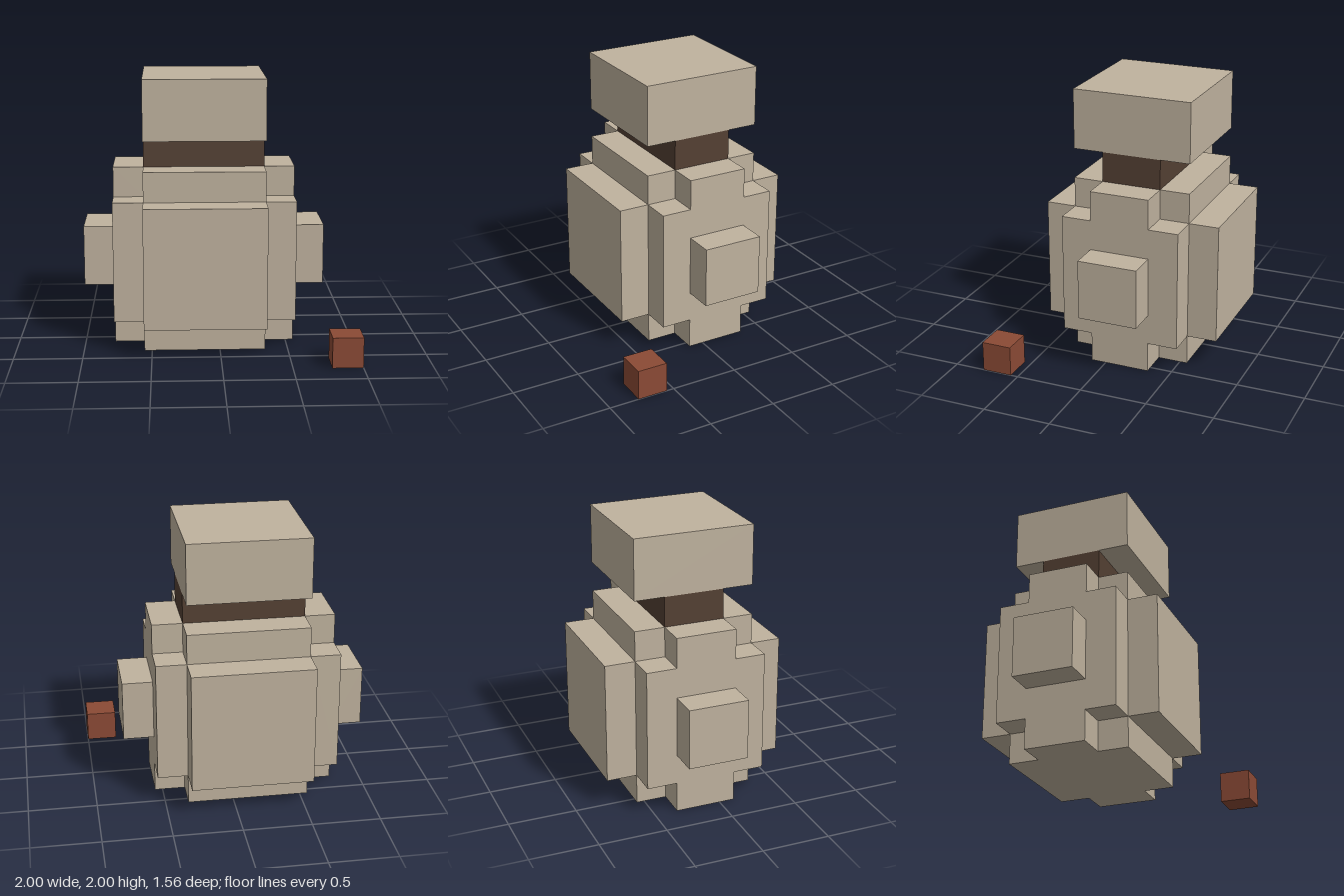
import * as THREE from 'three';

const U = 2 / 9; // one block
// grid coordinates to model coordinates (9 x 9 x 7 blocks)
const gx = i => i * U - 1;
const gy = j => j * U;
const gz = k => k * U - 3.5 * U;

export function createModel() {
  const group = new THREE.Group();
  const mat = (name, color) => {
    const m = new THREE.MeshStandardMaterial({ color });
    m.name = name;
    return m;
  };
  const clay = mat('pale clay', 0xbfb29e);
  const cord = mat('dark brown', 0x544033);
  const red = mat('brick red', 0x8b4a35);

  const add = (name, geometry, material) => {
    const mesh = new THREE.Mesh(geometry, material);
    mesh.name = name;
    group.add(mesh);
    return mesh;
  };

  // box between two grid corners
  const block = (name, material, [x0, y0, z0], [x1, y1, z1]) => {
    const g = new THREE.BoxGeometry((x1 - x0) * U, (y1 - y0) * U, (z1 - z0) * U);
    add(name, g, material).position.set(
      (gx(x0) + gx(x1)) / 2, (gy(y0) + gy(y1)) / 2, (gz(z0) + gz(z1)) / 2);
  };

  // jar layer: a rectangle with one-block square notches at its corners
  const layer = (name, y0, y1, z0, z1) => {
    const outline = [
      [2, z0], [6, z0], [6, z0 + 1], [7, z0 + 1], [7, z1 - 1], [6, z1 - 1],
      [6, z1], [2, z1], [2, z1 - 1], [1, z1 - 1], [1, z0 + 1], [2, z0 + 1],
    ].map(([x, z]) => new THREE.Vector2(gx(x), -gz(z)));
    const g = new THREE.ExtrudeGeometry(new THREE.Shape(outline),
      { depth: (y1 - y0) * U, bevelEnabled: false });
    g.rotateX(-Math.PI / 2);
    add(name, g, clay).position.y = gy(y0);
  };

  // body
  layer('base', 0, 1, 1, 5);
  layer('belly', 1, 5, 0, 6);
  layer('shoulder', 5, 6, 1, 5);

  // handles
  block('rightHandle', clay, [0, 2, 2], [1, 4, 4]);
  block('leftHandle', clay, [7, 2, 2], [8, 4, 4]);

  // neck and lid
  block('neck', cord, [2, 6, 2], [6, 7, 4]);
  block('lid', clay, [2, 7, 1], [6, 9, 5]);

  // loose cube beside the jar
  block('looseCube', red, [8, 0, 6], [9, 1, 7]);

  return group;
}
